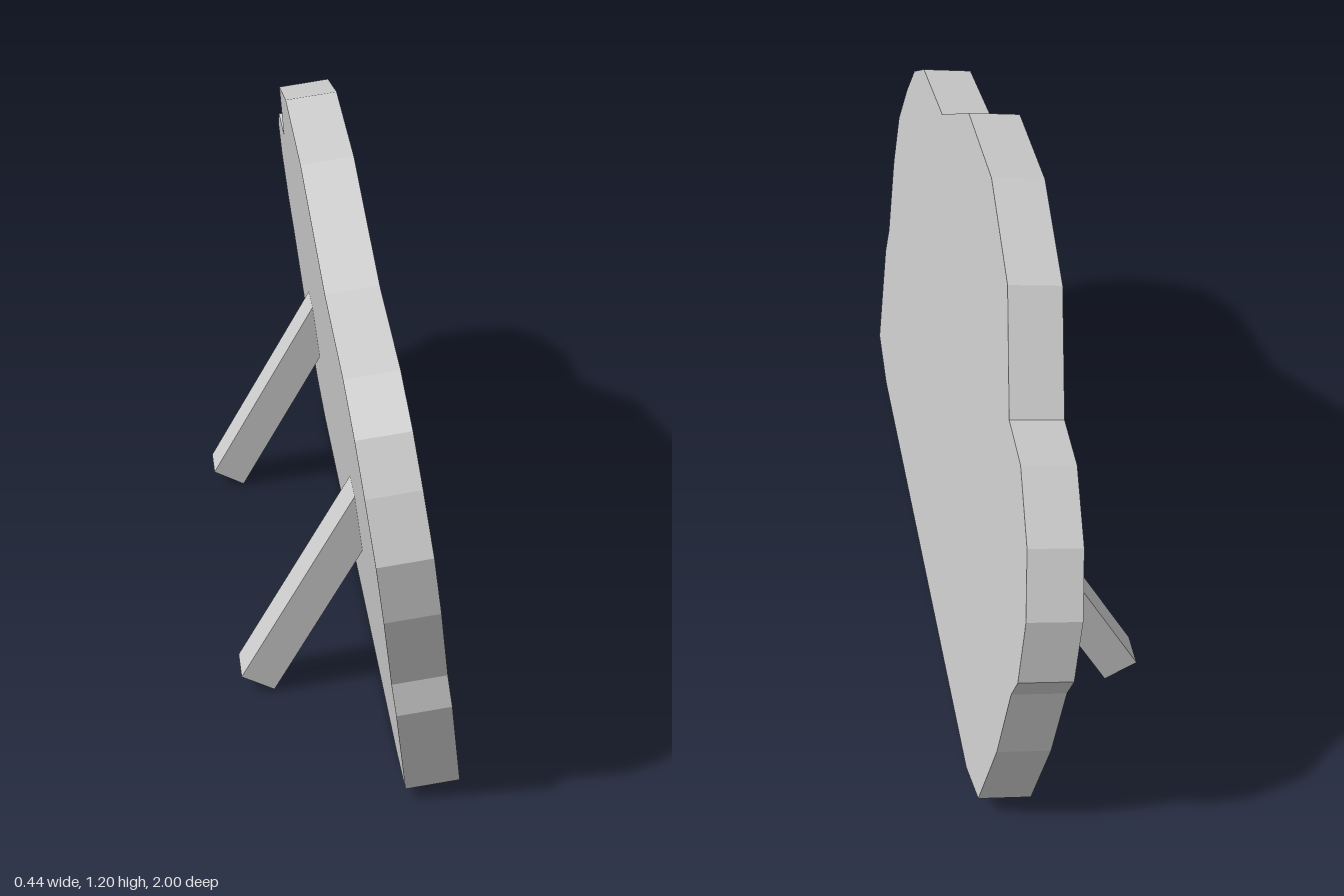
import * as THREE from 'three';

const LEAN = 0.13;       // backward tilt of the panel
const THICKNESS = 0.118;

// Outline of the panel's front face as (z, height) before tilting
const OUTLINE = [
  [0.74, 0.02], [0.91, 0.053], [0.968, 0.295], [0.955, 0.367], [1, 0.555],
  [1, 0.69], [0.935, 0.81], [0.865, 0.905], [0.745, 0.977], [0.455, 1.017],
  [0.17, 1.187], [-0.14, 1.207], [-0.42, 1.12], [-0.605, 0.91], [-0.75, 0.905],
  [-0.9, 0.812], [-0.983, 0.69], [-1, 0.543], [-0.967, 0.48], [-0.935, 0.285],
  [-0.855, 0.065], [-0.715, 0.02],
];

export function createModel() {
  const model = new THREE.Group();
  model.name = 'standingPanel';
  const material = new THREE.MeshStandardMaterial({ color: 0xcccccc, flatShading: true });

  // Panel: outline extruded backwards from its front face, turned to +x and tilted
  const points = OUTLINE.map(([z, y]) => new THREE.Vector2(-z, (y - 0.02) / Math.cos(LEAN)));
  const panelGeometry = new THREE.ExtrudeGeometry(new THREE.Shape(points), {
    depth: THICKNESS, bevelEnabled: false,
  });
  panelGeometry.translate(0, 0, -THICKNESS).rotateY(Math.PI / 2);
  const panel = new THREE.Mesh(panelGeometry, material);
  panel.name = 'panel';
  panel.rotation.z = LEAN;
  panel.position.set(0.218, 0.018, 0);
  model.add(panel);

  // Two slanted props behind the panel
  const propGeometry = new THREE.BoxGeometry(0.085, 0.545, 0.087);
  for (const [name, z] of [['leftProp', 0.449], ['rightProp', -0.432]]) {
    const prop = new THREE.Mesh(propGeometry, material);
    prop.name = name;
    prop.rotation.z = -0.498;
    prop.position.set(-0.054, 0.266, z);
    model.add(prop);
  }
  return model;
}
